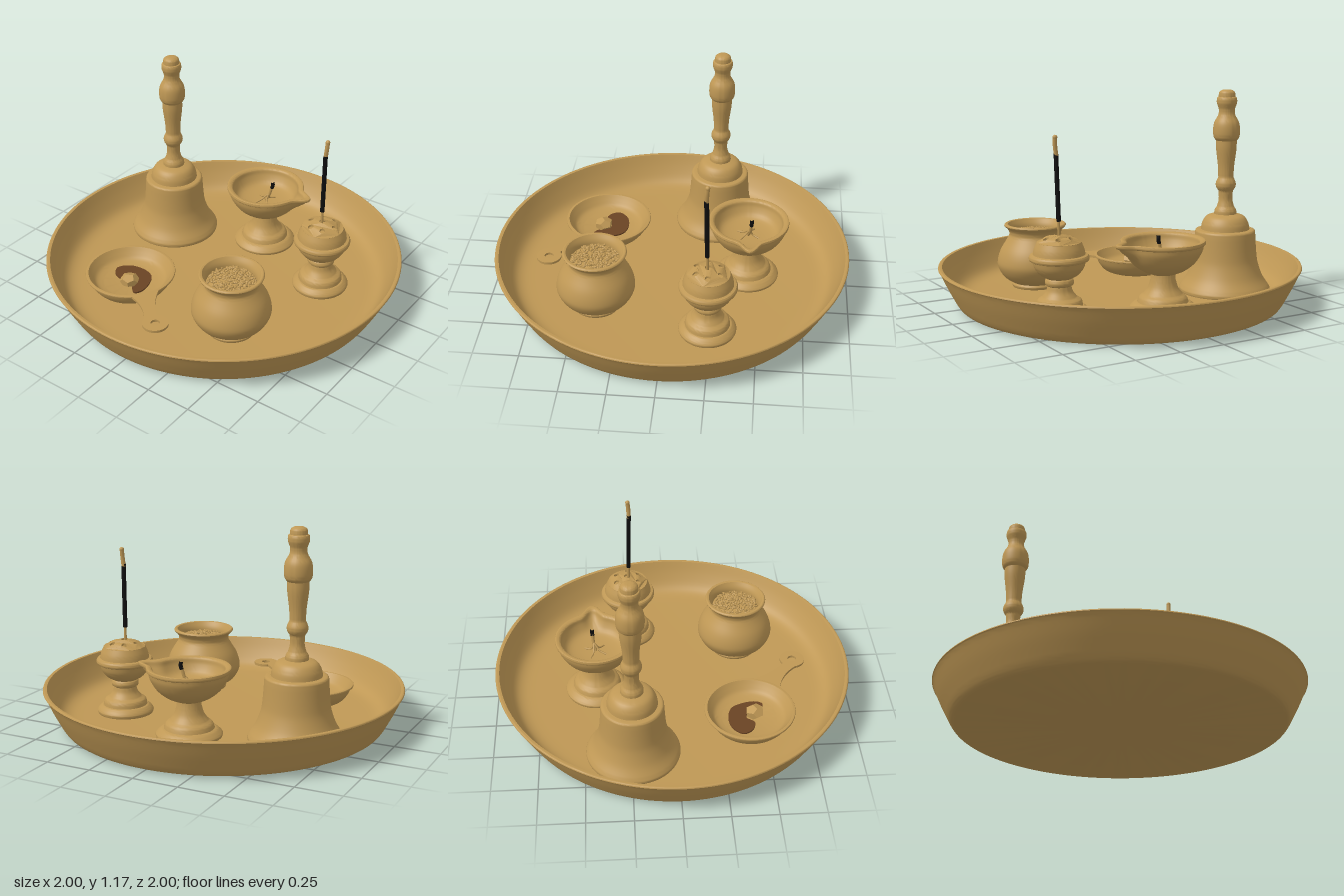
import * as THREE from 'three';
import { mergeGeometries, toCreasedNormals } from 'three/addons/utils/BufferGeometryUtils.js';

const V2 = (p) => new THREE.Vector2(p[0], p[1]);
const V3 = (p) => new THREE.Vector3(...p);

// Profile made of smooth runs; each run is splined, edges between runs stay sharp.
function latheGeometry(runs, segments = 64) {
  const pts = [];
  for (const run of runs) {
    const p = run.map(V2);
    pts.push(...(p.length > 2 ? new THREE.SplineCurve(p).getPoints((p.length - 1) * 4) : p));
  }
  pts.forEach((p) => { p.x = Math.max(p.x, 0); });
  const clean = pts.filter((p, i) => i === 0 || p.distanceTo(pts[i - 1]) > 1e-4);
  return new THREE.LatheGeometry(clean, segments);
}

function seeded(seed) {
  return () => {
    seed = (seed * 16807) % 2147483647;
    return seed / 2147483647;
  };
}

export function createModel() {
  const brass = new THREE.MeshStandardMaterial({ color: 0xbf9855 });
  brass.name = 'brass';
  const black = new THREE.MeshStandardMaterial({ color: 0x0e0e0e });
  black.name = 'charred black';
  const brown = new THREE.MeshStandardMaterial({ color: 0x6a4424 });
  brown.name = 'burnt brown';

  const model = new THREE.Group();
  model.name = 'offeringTray';
  const group = (name, x, z) => {
    const g = new THREE.Group();
    g.name = name;
    g.position.set(x, 0, z);
    model.add(g);
    return g;
  };
  const add = (parent, name, geometry, material = brass) => {
    const mesh = new THREE.Mesh(geometry, material);
    mesh.name = name;
    parent.add(mesh);
    return mesh;
  };
  const turned = (parent, name, runs, segments) =>
    add(parent, name, toCreasedNormals(latheGeometry(runs, segments), 0.6));
  const tube = (parent, name, pts, r, material) =>
    add(parent, name, new THREE.TubeGeometry(new THREE.CatmullRomCurve3(pts.map(V3)), 12, r, 8), material);

  // Round tray with sloping wall
  turned(model, 'tray', [
    [[0, 0], [0.865, 0]],
    [[0.865, 0], [0.89, 0.012], [0.91, 0.04]],
    [[0.91, 0.04], [0.955, 0.125], [0.99, 0.2], [1, 0.215]],
    [[1, 0.215], [0.995, 0.223], [0.978, 0.222]],
    [[0.978, 0.222], [0.945, 0.15], [0.9, 0.08], [0.85, 0.052], [0.78, 0.045]],
    [[0.78, 0.045], [0, 0.045]],
  ], 128);

  // Hand bell
  const bell = group('handBell', -0.54, -0.24);
  turned(bell, 'bellBody', [
    [[0, 0.045], [0.252, 0.045]],
    [[0.252, 0.045], [0.255, 0.06], [0.245, 0.08]],
    [[0.245, 0.08], [0.212, 0.13], [0.186, 0.2], [0.176, 0.26], [0.168, 0.37]],
    [[0.168, 0.37], [0.163, 0.39], [0.135, 0.395]],
    [[0.135, 0.395], [0.128, 0.43], [0.105, 0.465], [0.065, 0.48]],
    [[0.065, 0.48], [0, 0.48]],
  ]);
  turned(bell, 'bellHandle', [
    [[0, 0.47], [0.062, 0.475]],
    [[0.062, 0.475], [0.06, 0.5], [0.048, 0.52]],
    [[0.048, 0.52], [0.038, 0.56], [0.04, 0.61]],
    [[0.04, 0.61], [0.053, 0.63], [0.055, 0.655], [0.042, 0.685]],
    [[0.042, 0.685], [0.045, 0.75], [0.056, 0.84], [0.057, 0.89]],
    [[0.057, 0.89], [0.071, 0.91], [0.074, 0.95], [0.068, 0.99], [0.047, 1.03], [0.044, 1.06], [0.05, 1.08]],
    [[0.05, 1.08], [0.056, 1.1], [0.054, 1.125], [0.046, 1.13]],
    [[0.046, 1.13], [0.043, 1.155], [0.025, 1.168], [0, 1.17]],
  ], 48);

  // Oil lamp on a stepped foot
  const lamp = group('oilLamp', -0.01, -0.43);
  turned(lamp, 'lampFoot', [
    [[0, 0.045], [0.175, 0.045]],
    [[0.175, 0.045], [0.178, 0.058], [0.168, 0.07]],
    [[0.168, 0.07], [0.15, 0.085], [0.135, 0.09]],
    [[0.135, 0.09], [0.125, 0.115], [0.105, 0.13]],
    [[0.105, 0.13], [0.08, 0.165], [0.066, 0.21]],
    [[0.066, 0.21], [0.064, 0.25]],
  ]);
  const bowl = latheGeometry([
    [[0, 0.235], [0.065, 0.238]],
    [[0.065, 0.238], [0.12, 0.262], [0.172, 0.305], [0.205, 0.36], [0.213, 0.395]],
    [[0.213, 0.395], [0.223, 0.402], [0.222, 0.418], [0.212, 0.42]],
    [[0.212, 0.42], [0.193, 0.412], [0.185, 0.38], [0.155, 0.335], [0.09, 0.318], [0, 0.315]],
  ], 128);
  // Pull the upper bowl out into a pouring lip
  const bp = bowl.attributes.position;
  for (let i = 0; i < bp.count; i++) {
    const x = bp.getX(i), y = bp.getY(i), z = bp.getZ(i);
    const a = Math.atan2(z, x) + 0.06;
    const lift = THREE.MathUtils.smoothstep(y, 0.31, 0.415);
    const k = 1 + 0.32 * lift * Math.exp(-((a / 0.19) ** 2));
    bp.setXYZ(i, x * k, y, z * k);
  }
  add(lamp, 'lampBowl', toCreasedNormals(bowl, 0.6));
  tube(lamp, 'wick', [[0.0, 0.32, 0], [0.02, 0.36, -0.01], [0.035, 0.415, -0.015]], 0.009);
  for (const [x, z] of [[-0.06, -0.03], [-0.03, 0.06], [0.05, 0.045], [0.03, -0.06]]) {
    tube(lamp, 'wickStrand', [[x, 0.318, z], [x * 0.4, 0.33, z * 0.4], [0.018, 0.365, -0.008]], 0.005);
  }
  tube(lamp, 'wickTip', [[0.034, 0.405, -0.015], [0.04, 0.425, -0.016], [0.038, 0.448, -0.015]], 0.011, black);

  // Incense holder with a pierced dome
  const holder = group('incenseHolder', 0.5, -0.235);
  turned(holder, 'holderBody', [
    [[0, 0.045], [0.153, 0.045]],
    [[0.153, 0.045], [0.157, 0.06], [0.148, 0.075]],
    [[0.148, 0.075], [0.13, 0.09], [0.122, 0.092]],
    [[0.122, 0.092], [0.115, 0.12], [0.092, 0.135]],
    [[0.092, 0.135], [0.07, 0.165], [0.062, 0.195]],
    [[0.062, 0.195], [0.074, 0.205], [0.074, 0.225], [0.066, 0.235]],
    [[0.066, 0.235], [0.1, 0.255], [0.128, 0.29], [0.138, 0.325]],
    [[0.138, 0.325], [0.153, 0.33], [0.157, 0.345], [0.15, 0.358]],
    [[0.15, 0.358], [0.136, 0.362]],
    [[0.136, 0.362], [0.13, 0.39], [0.115, 0.425]],
    [[0.115, 0.425], [0.1, 0.415], [0, 0.415]],
  ], 48);
  const capShape = new THREE.Shape().absarc(0, 0, 0.115, 0, Math.PI * 2);
  for (let i = 0; i < 6; i++) {
    const a = (i / 6) * Math.PI * 2;
    capShape.holes.push(new THREE.Path().absarc(0.075 * Math.cos(a), 0.075 * Math.sin(a), 0.015, 0, Math.PI * 2, true));
  }
  capShape.holes.push(new THREE.Path().absarc(0, 0, 0.02, 0, Math.PI * 2, true));
  const cap = new THREE.ExtrudeGeometry(capShape, { depth: 0.012, bevelEnabled: false, curveSegments: 20 });
  cap.rotateX(-Math.PI / 2);
  const cp = cap.attributes.position;
  for (let i = 0; i < cp.count; i++) {
    const r = Math.hypot(cp.getX(i), cp.getZ(i));
    cp.setY(i, cp.getY(i) + 0.452 - 2.9 * r * r);
  }
  add(holder, 'piercedDome', toCreasedNormals(cap, 0.6));

  // Incense stick: bare stem, dark coating, bare tip
  tube(holder, 'stickStem', [[-0.006, 0.4, 0.007], [-0.003, 0.47, 0.007], [-0.002, 0.54, 0.008]], 0.008);
  tube(holder, 'stickCoating', [[-0.003, 0.53, 0.008], [0.001, 0.7, 0.012], [0.005, 0.885, 0.017]], 0.0125, black);
  tube(holder, 'stickTip', [[0.004, 0.87, 0.016], [0.01, 0.92, 0.016], [0.012, 0.965, 0.012]], 0.012);
  const tip = add(holder, 'stickEnd', new THREE.SphereGeometry(0.0125, 12, 8));
  tip.position.set(0.012, 0.965, 0.012);

  // Round pot filled with grain
  const pot = group('grainPot', 0.33, 0.39);
  turned(pot, 'potBody', [
    [[0, 0.045], [0.13, 0.045]],
    [[0.13, 0.045], [0.135, 0.058], [0.128, 0.07]],
    [[0.128, 0.07], [0.18, 0.105], [0.212, 0.16], [0.213, 0.205], [0.195, 0.26], [0.16, 0.318], [0.147, 0.345],
      [0.152, 0.37], [0.168, 0.388]],
    [[0.168, 0.388], [0.175, 0.397], [0.168, 0.406], [0.155, 0.404]],
    [[0.155, 0.404], [0.138, 0.375], [0.133, 0.345], [0.14, 0.32]],
    [[0.14, 0.32], [0, 0.32]],
  ]);
  const rand = seeded(77);
  turned(pot, 'grainBed', [[[0.14, 0.345], [0.07, 0.358], [0, 0.362]]], 32);
  const grains = [];
  for (let i = 0; i < 330; i++) {
    const r = 0.128 * Math.sqrt(rand()), a = rand() * Math.PI * 2;
    const g = new THREE.SphereGeometry(0.0075, 6, 4);
    g.scale(1.5, 0.8, 0.9);
    g.rotateZ((rand() - 0.5) * 1.2);
    g.rotateY(rand() * Math.PI);
    g.translate(r * Math.cos(a), 0.364 - 0.9 * r * r + rand() * 0.008, r * Math.sin(a));
    grains.push(g);
  }
  add(pot, 'grains', mergeGeometries(grains));

  // Shallow pan with a flat pierced handle
  const pan = group('burnerPan', -0.35, 0.41);
  turned(pan, 'panBody', [
    [[0, 0.045], [0.15, 0.045]],
    [[0.15, 0.045], [0.19, 0.062], [0.222, 0.1], [0.238, 0.138]],
    [[0.238, 0.138], [0.25, 0.142], [0.249, 0.152], [0.235, 0.153]],
    [[0.235, 0.153], [0.215, 0.125], [0.19, 0.098], [0.15, 0.085]],
    [[0.15, 0.085], [0, 0.083]],
  ]);
  const handle = new THREE.Shape();
  handle.moveTo(0.238 * Math.cos(0.12), 0.238 * Math.sin(0.12));
  handle.quadraticCurveTo(0.27, 0.14, 0.371, 0.232);
  handle.absarc(0.41, 0.29, 0.07, -2.16, 3.0, false);
  handle.quadraticCurveTo(0.27, 0.205, 0.238 * Math.cos(0.89), 0.238 * Math.sin(0.89));
  handle.absarc(0, 0, 0.238, 0.89, 0.12, true);
  handle.holes.push(new THREE.Path().absarc(0.41, 0.29, 0.025, 0, Math.PI * 2, true));
  const flat = new THREE.ExtrudeGeometry(handle, { depth: 0.014, bevelEnabled: false, curveSegments: 20 });
  flat.rotateX(Math.PI / 2).translate(0, 0.152, 0);
  add(pan, 'panHandle', toCreasedNormals(flat, 0.6));

  // Burnt crescent and the lump beside it
  const edge = [[-0.135, -0.045], [-0.09, -0.1], [-0.01, -0.118], [0.07, -0.095], [0.108, -0.03], [0.118, 0.05],
    [0.095, 0.085], [0.05, 0.05], [0.035, 0], [-0.01, -0.018], [-0.05, 0.025], [-0.11, 0.005]];
  const outline = new THREE.CatmullRomCurve3(edge.map(([x, y]) => new THREE.Vector3(x, y, 0)), true).getPoints(60);
  const burn = new THREE.ExtrudeGeometry(new THREE.Shape(outline.slice(0, -1).map((p) => new THREE.Vector2(p.x, p.y))),
    { depth: 0.009, bevelEnabled: false });
  burn.rotateX(Math.PI / 2).translate(0, 0.093, 0);
  add(pan, 'burntPatch', burn, brown);
  const lump = add(pan, 'camphorLump', toCreasedNormals(new THREE.DodecahedronGeometry(0.055, 0), 0.3));
  lump.scale.set(1, 0.65, 1);
  lump.rotation.y = 0.5;
  lump.position.set(0.015, 0.112, 0.03);

  return model;
}
